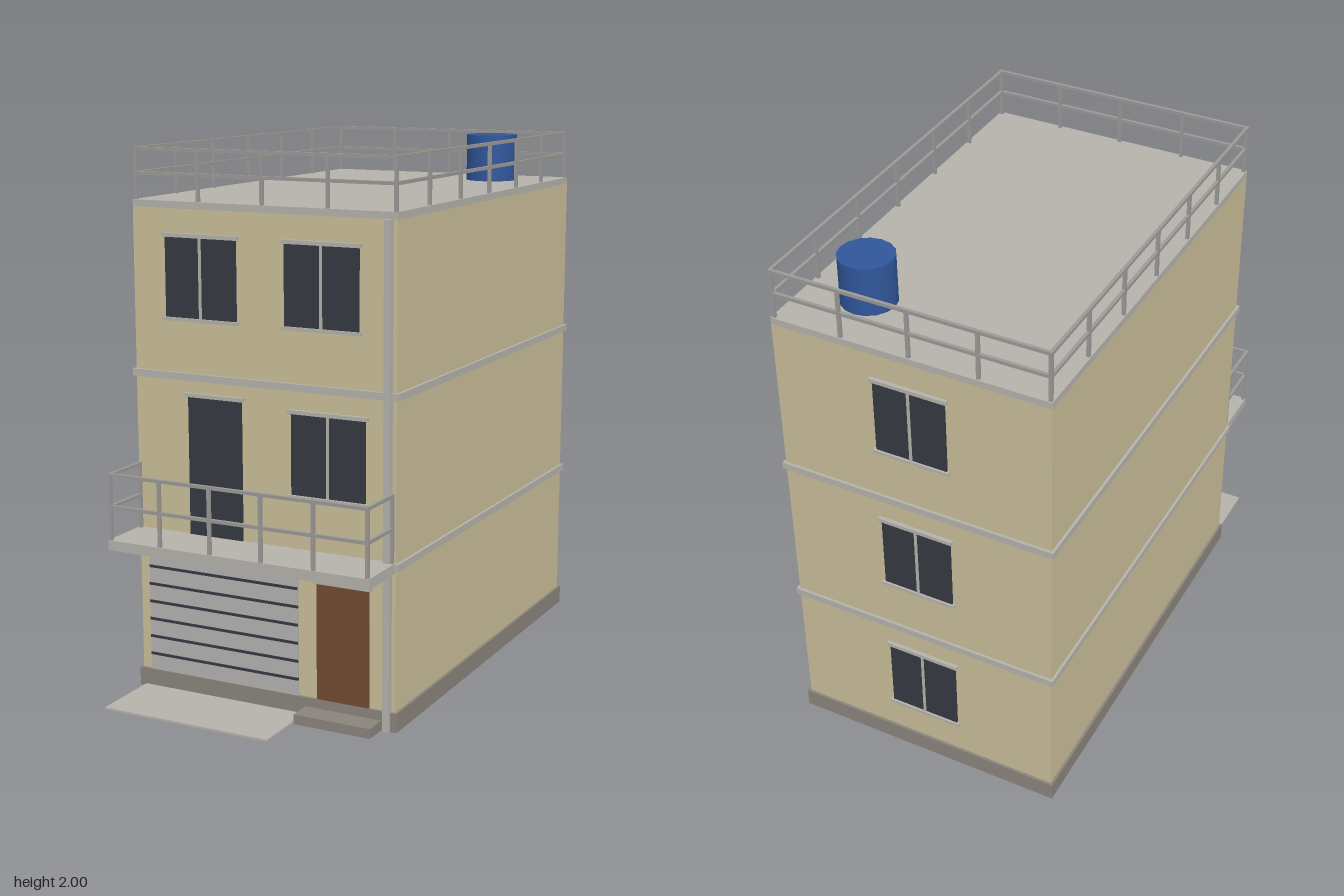
import * as THREE from 'three';

const mat = (name, color) => {
  const m = new THREE.MeshStandardMaterial({ color });
  m.name = name;
  return m;
};

export function createModel() {
  const wall = mat('wall paint', 0xc9be9a);
  const concrete = mat('concrete', 0xb5b2ab);
  const plinthGrey = mat('plinth grey', 0x8a847b);
  const glass = mat('dark glass', 0x353a42);
  const wood = mat('door wood', 0x734b30);
  const blue = mat('tank blue', 0x30569a);
  const metal = mat('rail metal', 0x9b9a97);
  const shutter = mat('shutter grey', 0xb4b2b0);

  const model = new THREE.Group();
  model.name = 'townhouse';
  const X = 0.52, ZF = 0.677, ZB = -0.945;

  // Box given by its minimum and maximum along each axis
  const box = (parent, name, m, x0, x1, y0, y1, z0, z1) => {
    const mesh = new THREE.Mesh(new THREE.BoxGeometry(x1 - x0, y1 - y0, z1 - z0), m);
    mesh.position.set((x0 + x1) / 2, (y0 + y1) / 2, (z0 + z1) / 2);
    mesh.name = name;
    parent.add(mesh);
    return mesh;
  };
  const group = (name) => {
    const g = new THREE.Group();
    g.name = name;
    model.add(g);
    return g;
  };

  // Main block, base, floor bands and roof
  box(model, 'walls', wall, -X, X, 0.07, 1.79, ZB, ZF);
  box(model, 'plinth', plinthGrey, -0.53, 0.53, 0, 0.07, ZB - 0.01, ZF + 0.01);
  for (const y of [0.583, 1.18])
    box(model, 'floorBand', concrete, -0.53, 0.53, y, y + 0.026, ZB - 0.01, ZF + 0.01);
  box(model, 'roofSlab', concrete, -X, X, 1.79, 1.815, ZB, ZF);
  box(model, 'downpipe', concrete, 0.48, 0.505, 0, 1.79, ZF - 0.005, 0.699);

  // Opening on the front wall: pane, lintel, and optional sill and mullion
  const opening = (name, m, x0, x1, y0, y1, isWindow) => {
    const g = group(name);
    box(g, 'pane', m, x0, x1, y0, y1, ZF, ZF + 0.007);
    box(g, 'lintel', concrete, x0 - 0.01, x1 + 0.01, y1, y1 + 0.014, ZF, ZF + 0.014);
    if (isWindow) {
      const c = (x0 + x1) / 2;
      box(g, 'mullion', concrete, c - 0.005, c + 0.005, y0, y1, ZF, ZF + 0.011);
      box(g, 'sill', concrete, x0 - 0.01, x1 + 0.01, y0 - 0.012, y0, ZF, ZF + 0.015);
    }
    return g;
  };
  opening('upperLeftWindow', glass, 0.093, 0.38, 1.405, 1.69, true);
  opening('upperRightWindow', glass, -0.385, -0.098, 1.405, 1.69, true);
  opening('middleWindow', glass, 0.117, 0.405, 0.81, 1.1, true);
  opening('balconyDoor', glass, -0.3, -0.082, 0.612, 1.122, false);
  opening('frontDoor', wood, 0.215, 0.42, 0.07, 0.5, false);

  // Back windows, turned to face the rear
  for (const y of [0.21, 0.808, 1.405]) {
    const g = opening('backWindow', glass, -0.135, 0.135, y, y + 0.28, true);
    g.rotation.y = Math.PI;
    g.position.z = ZB + ZF;
  }

  // Roller shutter with dark grooves and its housing
  const garage = group('garageShutter');
  box(garage, 'shutter', shutter, -0.48, 0.14, 0.07, 0.53, ZF, ZF + 0.007);
  for (let i = 0; i < 6; i++) {
    const y = 0.132 + i * 0.0675;
    box(garage, 'groove', glass, -0.48, 0.14, y - 0.005, y + 0.005, ZF, ZF + 0.01);
  }
  box(garage, 'shutterHousing', glass, -0.493, 0.155, 0.53, 0.578, ZF, 0.705);

  // Ground pieces
  box(model, 'doorStep', plinthGrey, 0.17, 0.47, 0, 0.036, ZF, 0.775);
  box(model, 'driveway', concrete, -0.505, 0.165, 0, 0.008, ZF, 0.96);

  // Straight railing run: posts with a top and a middle rail
  const T = 0.006;
  const railing = (parent, a, b, bays, y0, y1, yMid) => {
    const [ax, az] = a, [bx, bz] = b;
    for (let i = 0; i <= bays; i++) {
      const x = ax + (bx - ax) * i / bays, z = az + (bz - az) * i / bays;
      box(parent, 'post', metal, x - T, x + T, y0, y1, z - T, z + T);
    }
    for (const y of [y1 - T, yMid])
      box(parent, 'rail', metal, Math.min(ax, bx) - T, Math.max(ax, bx) + T,
        y - T, y + T, Math.min(az, bz) - T, Math.max(az, bz) + T);
  };

  // Balcony
  box(model, 'balconySlab', concrete, -X, X, 0.577, 0.614, ZF, 0.887);
  const balcony = group('balconyRailing');
  railing(balcony, [-0.51, 0.879], [0.51, 0.879], 5, 0.614, 0.86, 0.737);
  for (const x of [-0.51, 0.51])
    railing(balcony, [x, 0.689], [x, 0.879], 1, 0.614, 0.86, 0.737);

  // Roof railing
  const roof = group('roofRailing');
  for (const z of [0.667, -0.935])
    railing(roof, [-0.51, z], [0.51, z], 4, 1.815, 2, 1.908);
  for (const x of [-0.51, 0.51])
    railing(roof, [x, -0.935], [x, 0.667], 6, 1.815, 2, 1.908);

  // Water tank
  const tankGeo = new THREE.CylinderGeometry(0.1, 0.1, 0.18, 16);
  const tank = new THREE.Mesh(tankGeo, blue);
  tank.name = 'waterTank';
  tank.position.set(0.285, 1.905, -0.705);
  model.add(tank);

  return model;
}
